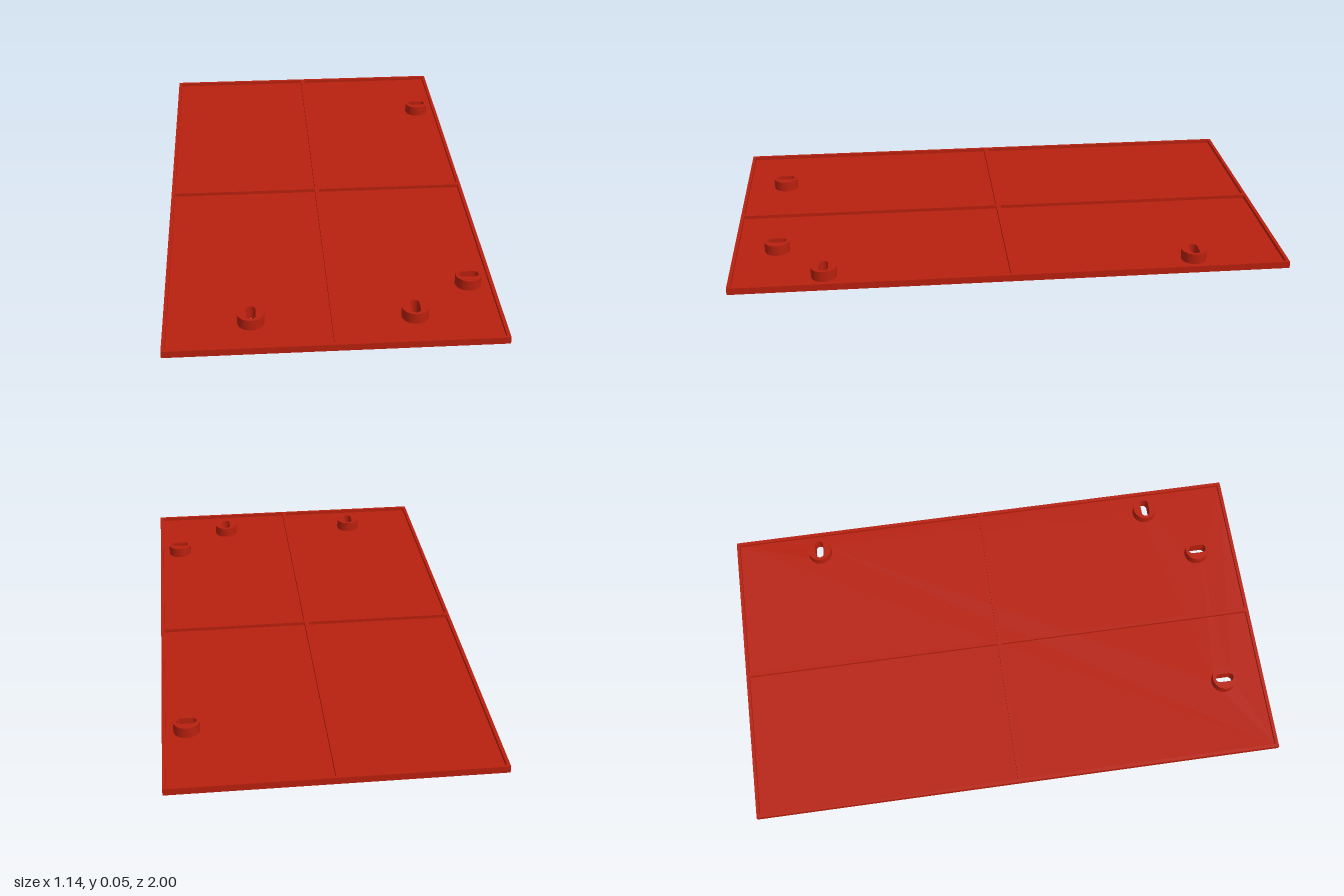
import * as THREE from 'three';

const HALF_W = 0.57, HALF_L = 1;
const FLOOR = 0.012, RIM_TOP = 0.025, BOSS_TOP = 0.051;
const RIM = 0.012, RIB = 0.016, BOSS_R = 0.046;
const SLOT_R = 0.016, SLOT_HALF = 0.035;

// Mounting points: x, z and whether the slot runs along x
const MOUNTS = [
  [0.485, -0.667, true],
  [0.485, 0.667, true],
  [-0.277, 0.843, false],
  [0.275, 0.843, false],
];

// Trace a rectangle (shape y is -z)
function rect(path, x0, y0, x1, y1) {
  path.moveTo(x0, y0);
  path.lineTo(x1, y0);
  path.lineTo(x1, y1);
  path.lineTo(x0, y1);
  path.closePath();
  return path;
}

// Rounded slot outline
function slot(x, z, alongX) {
  const p = new THREE.Path(), y = -z, d = SLOT_HALF - SLOT_R;
  const a = alongX ? 0 : Math.PI / 2;
  const dx = Math.cos(a) * d, dy = Math.sin(a) * d;
  p.absarc(x + dx, y + dy, SLOT_R, a - Math.PI / 2, a + Math.PI / 2, false);
  p.absarc(x - dx, y - dy, SLOT_R, a + Math.PI / 2, a + Math.PI * 1.5, false);
  p.closePath();
  return p;
}

// Extrude a plan shape upward from y0 to y1
function slab(name, shape, y0, y1, material) {
  const geo = new THREE.ExtrudeGeometry(shape, {
    depth: y1 - y0, bevelEnabled: false, curveSegments: 16,
  });
  geo.rotateX(-Math.PI / 2);
  geo.translate(0, y0, 0);
  const mesh = new THREE.Mesh(geo, material);
  mesh.name = name;
  return mesh;
}

export function createModel() {
  const group = new THREE.Group();
  group.name = 'panel';
  const red = new THREE.MeshStandardMaterial({ color: 0xb8200e });
  red.name = 'red';

  // Thin floor pierced by the slots
  const floor = rect(new THREE.Shape(), -HALF_W, -HALF_L, HALF_W, HALF_L);
  for (const m of MOUNTS) floor.holes.push(slot(...m));
  group.add(slab('floor', floor, 0, FLOOR, red));

  // Raised rim and cross ribs around four recessed bays
  const frame = rect(new THREE.Shape(), -HALF_W, -HALF_L, HALF_W, HALF_L);
  const xs = [RIB / 2, HALF_W - RIM], ys = [RIB / 2, HALF_L - RIM];
  for (const sx of [-1, 1]) {
    for (const sy of [-1, 1]) {
      frame.holes.push(rect(new THREE.Path(), sx * xs[0], sy * ys[0], sx * xs[1], sy * ys[1]));
    }
  }
  group.add(slab('rimAndRibs', frame, FLOOR, RIM_TOP, red));

  // Round slotted bosses
  for (const m of MOUNTS) {
    const boss = new THREE.Shape();
    boss.absarc(m[0], -m[1], BOSS_R, 0, Math.PI * 2, false);
    boss.holes.push(slot(...m));
    group.add(slab('slottedBoss', boss, FLOOR, BOSS_TOP, red));
  }
  return group;
}
